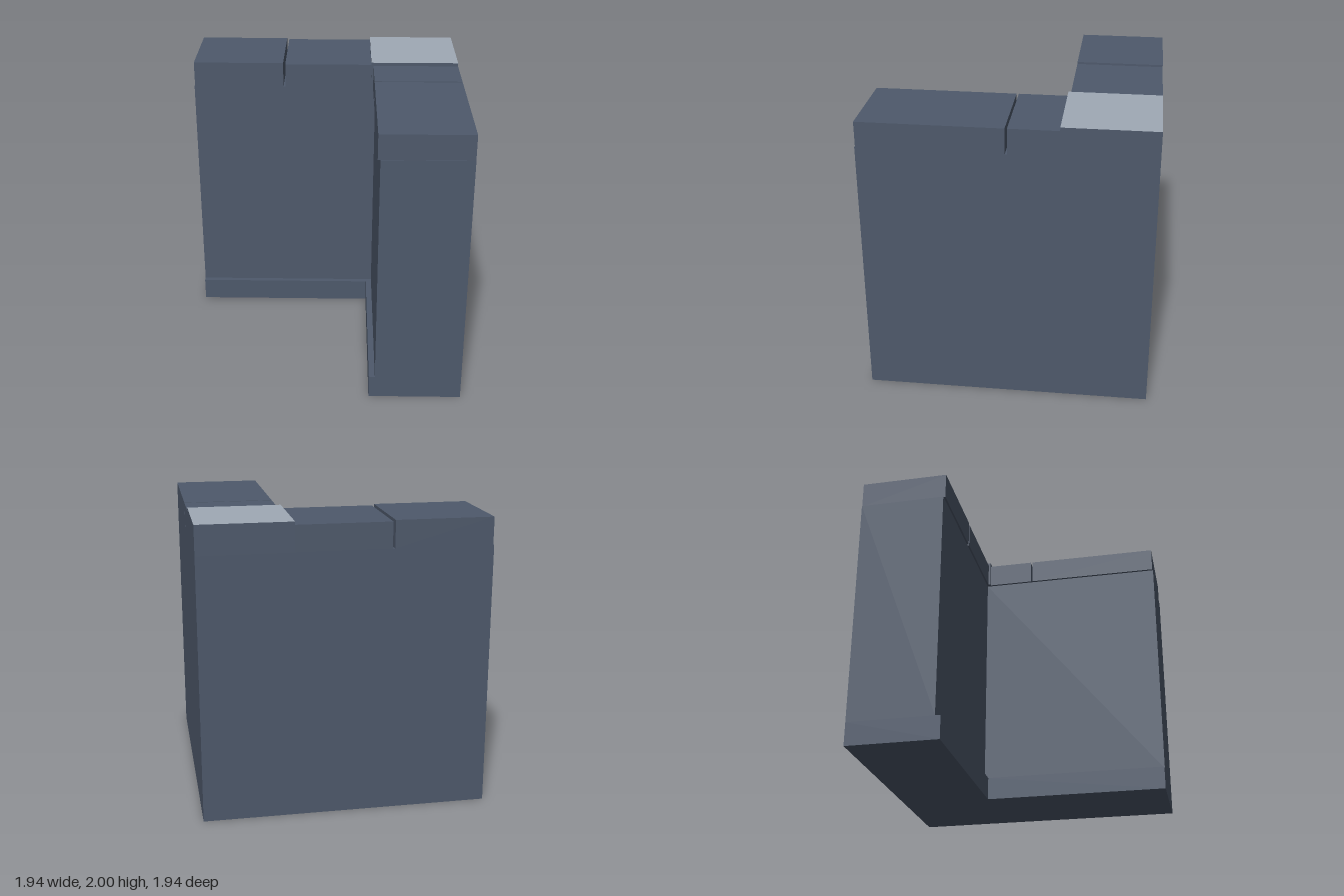
import * as THREE from 'three';

export function createModel() {
  const group = new THREE.Group();
  group.name = 'wallCorner';
  const stone = new THREE.MeshStandardMaterial({ color: 0x4e596b });
  stone.name = 'slate stone';
  const pale = new THREE.MeshStandardMaterial({ color: 0x9fa9b5 });
  pale.name = 'pale stone';
  const E = 0.968; // outer half width

  const add = (name, geometry, material = stone) => {
    const mesh = new THREE.Mesh(geometry, material);
    mesh.name = name;
    group.add(mesh);
  };

  // L-shaped prism: back arm along x, side arm along z
  const ell = (name, y0, y1, innerX, innerZ) => {
    const shape = new THREE.Shape([
      [-E, E], [-E, -innerZ], [innerX, -innerZ], [innerX, -E], [E, -E], [E, E],
    ].map(([x, y]) => new THREE.Vector2(x, y)));
    const geometry = new THREE.ExtrudeGeometry(shape, { depth: y1 - y0, bevelEnabled: false });
    geometry.rotateX(-Math.PI / 2).translate(0, y0, 0);
    add(name, geometry);
  };

  // Box given by its limits
  const block = (name, x0, x1, y0, y1, z0, z1, material) => {
    const geometry = new THREE.BoxGeometry(x1 - x0, y1 - y0, z1 - z0);
    geometry.translate((x0 + x1) / 2, (y0 + y1) / 2, (z0 + z1) / 2);
    add(name, geometry, material);
  };

  // Plinth and wall
  ell('plinth', 0, 0.163, 0.328, -0.333);
  ell('wall', 0.163, 1.803, 0.37, -0.37);

  // Capstones along the two arms, with narrow open joints
  block('backCapOuter', -0.962, -0.308, 1.803, 1.988, -E, -0.357);
  block('backCapInner', -0.292, 0.338, 1.803, 1.979, -E, -0.357);
  block('sideCapInner', 0.353, E, 1.803, 1.976, -0.342, -0.011);
  block('sideCapOuter', 0.353, E, 1.803, 1.976, 0.004, 0.963);

  // Corner capstone with a pale top face
  block('cornerCap', 0.338, E, 1.803, 2, -E, -0.342,
    [stone, stone, pale, stone, stone, stone]);

  return group;
}
